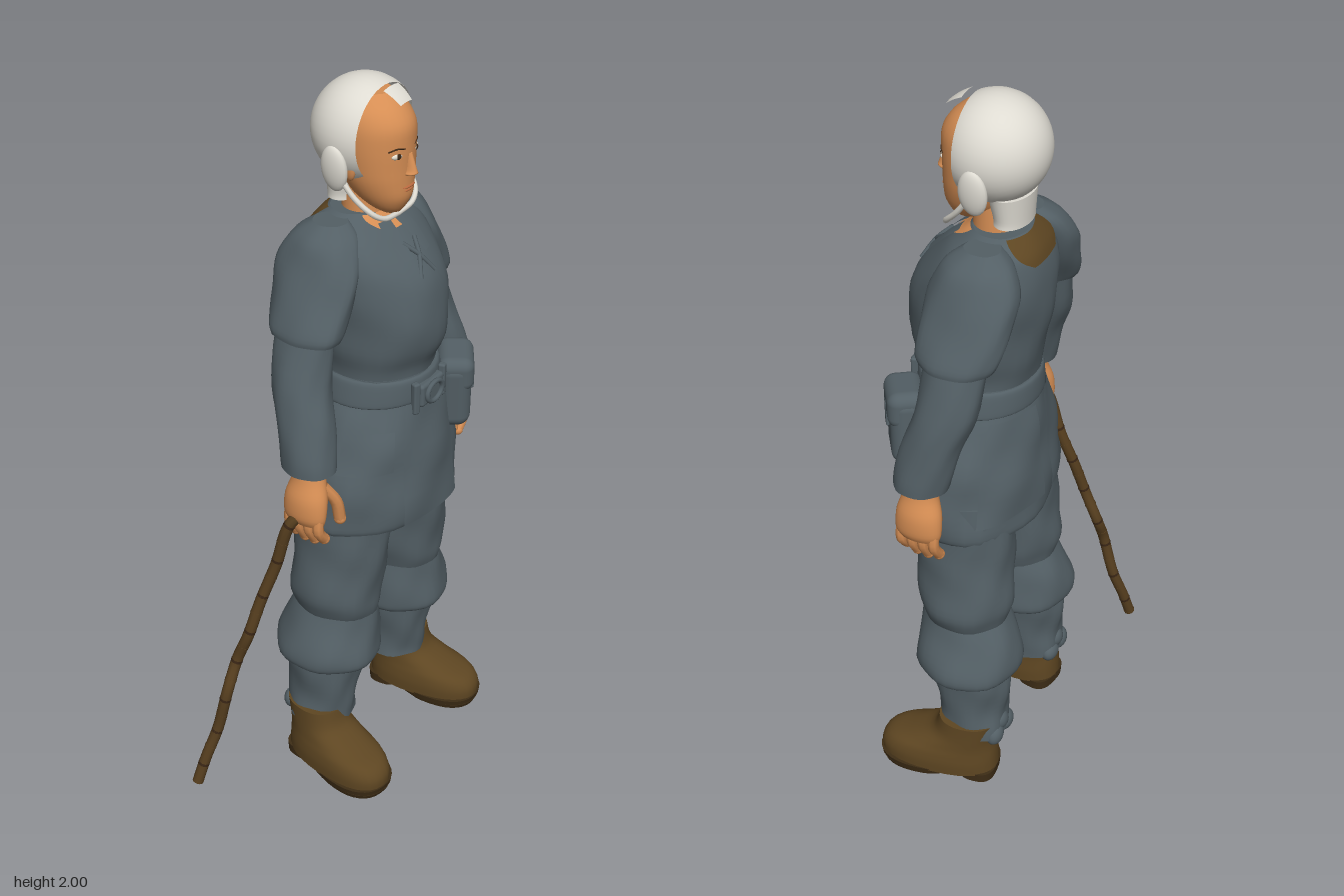
import * as THREE from 'three';
import { RoundedBoxGeometry } from 'three/addons/geometries/RoundedBoxGeometry.js';

const mat = (name, color, side = THREE.FrontSide) => {
  const m = new THREE.MeshStandardMaterial({ color, side });
  m.name = name;
  return m;
};
const M = {
  cloth: mat('slate cloth', 0x535f65, THREE.DoubleSide),
  skin: mat('skin', 0xd68e54, THREE.DoubleSide),
  hair: mat('white hair', 0xdedbd2, THREE.DoubleSide),
  boot: mat('boot leather', 0x5e4622, THREE.DoubleSide),
  sole: mat('dark sole', 0x3e2d16),
  stick: mat('stick wood', 0x573f1f),
  lip: mat('lips', 0xb9693f),
  dark: mat('iris and brow', 0x3b2716),
  white: mat('eye white', 0xe6dfd0),
};

function add(parent, name, geo, material, pos = [0, 0, 0], rot = [0, 0, 0], scale = [1, 1, 1]) {
  const mesh = new THREE.Mesh(geo, material);
  mesh.name = name;
  mesh.position.set(...pos);
  mesh.rotation.set(...rot);
  mesh.scale.set(...scale);
  parent.add(mesh);
  return mesh;
}

// A ring is [y, centre x, centre z, radius x, radius z]; rings rise in y.
function ringAt(rings, u) {
  const n = rings.length - 1, i = Math.min(Math.floor(u), n - 1), f = u - i;
  const g = k => rings[Math.max(0, Math.min(n, k))];
  return rings[0].map((_, c) => {
    const [a, b, d, e] = [g(i - 1)[c], g(i)[c], g(i + 1)[c], g(i + 2)[c]];
    return b + 0.5 * f * (d - a + f * (2 * a - 5 * b + 4 * d - e + f * (3 * (b - d) + e - a)));
  });
}
function ringAtY(rings, y) {
  let lo = 0, hi = rings.length - 1;
  for (let k = 0; k < 24; k++) {
    const mid = (lo + hi) / 2;
    if (ringAt(rings, mid)[0] < y) lo = mid; else hi = mid;
  }
  return ringAt(rings, lo);
}
// Point on a ring: pw squares the outline, fold adds cloth folds.
function ringPoint([y, cx, cz, rx, rz], a, { pw = 1, fold = 0, off = 0 } = {}) {
  const p = v => Math.sign(v) * Math.abs(v) ** pw;
  const k = 1 + fold * (Math.sin(3 * a + 38 * y) + Math.sin(7 * a - 23 * y)) / 2;
  return [cx + (rx * k + off) * p(Math.sin(a)), y, cz + (rz * k + off) * p(Math.cos(a))];
}
function grid(rows, cols, fn, caps) {
  const pos = [], idx = [];
  for (let i = 0; i <= rows; i++) for (let j = 0; j < cols; j++) pos.push(...fn(i, j));
  const wrap = caps ? cols : cols - 1;
  for (let i = 0; i < rows; i++) for (let j = 0; j < wrap; j++) {
    const a = i * cols + j, b = i * cols + (j + 1) % cols;
    idx.push(a, b, b + cols, a, b + cols, a + cols);
  }
  if (caps) for (const [row, up] of [[0, false], [rows, true]]) {
    const base = pos.length / 3, c = [0, 0, 0];
    for (let j = 0; j < cols; j++) {
      const p = fn(row, j);
      pos.push(...p);
      p.forEach((v, k) => { c[k] += v / cols; });
    }
    pos.push(...c);
    for (let j = 0; j < cols; j++) {
      const a = base + j, b = base + (j + 1) % cols;
      idx.push(...(up ? [a, b, base + cols] : [b, a, base + cols]));
    }
  }
  const g = new THREE.BufferGeometry();
  g.setAttribute('position', new THREE.Float32BufferAttribute(pos, 3));
  g.setIndex(idx);
  g.computeVertexNormals();
  return g;
}
function loft(rings, opt = {}) {
  const sub = 4, rows = (rings.length - 1) * sub, cols = 32;
  return grid(rows, cols, (i, j) => ringPoint(ringAt(rings, i / sub), j / cols * Math.PI * 2, opt), true);
}
// Thin panel lying on a loft; taper narrows its lower edge.
function patch(rings, y0, y1, mid, half, opt, taper = 1) {
  return grid(8, 13, (i, j) => {
    const w = half * (taper + (1 - taper) * i / 8);
    return ringPoint(ringAtY(rings, y0 + (y1 - y0) * i / 8), mid + w * (j / 6 - 1), opt);
  }, false);
}
function tube(points, r, segs = 12, sides = 8) {
  const curve = new THREE.CatmullRomCurve3(points.map(p => new THREE.Vector3(...p)));
  return new THREE.TubeGeometry(curve, segs, r, sides);
}
const ball = (r = 1) => new THREE.SphereGeometry(r, 20, 14);
const mirrorX = (rings, s) => rings.map(([y, x, ...rest]) => [y, x * s, ...rest]);

const SHIRT = [[1.23, 0, .015, .15, .145], [1.28, 0, .015, .15, .152], [1.34, 0, .02, .16, .17], [1.42, 0, .015, .163, .18],
  [1.5, 0, .002, .172, .176], [1.56, 0, -.015, .178, .156], [1.62, 0, -.035, .165, .118], [1.65, 0, -.045, .12, .088], [1.668, 0, -.045, .08, .068]];
const SKIRT = [[.835, 0, .017, .25, .178], [.86, 0, .017, .258, .183], [.95, 0, .017, .25, .18], [1.05, 0, .017, .228, .172],
  [1.15, 0, .016, .185, .16], [1.2, 0, .015, .16, .152], [1.26, 0, .015, .15, .148]];
const SLEEVE = [[1.405, .237, -.035, .066, .095], [1.43, .23, -.037, .07, .105], [1.5, .195, -.045, .07, .113],
  [1.57, .163, -.05, .07, .113], [1.63, .135, -.05, .068, .086], [1.662, .115, -.05, .04, .045]];
const FOREARM = [[1.08, .31, .025, .065, .072], [1.12, .305, .018, .067, .074], [1.2, .29, 0, .068, .075], [1.3, .265, -.03, .07, .078], [1.44, .228, -.04, .06, .078]];
const PALM = [[.925, .33, .025, .026, .055], [.95, .332, .025, .034, .062], [1, .325, .025, .04, .06], [1.05, .313, .025, .036, .046], [1.1, .307, .02, .034, .042]];
const THIGH = [[.52, .147, -.01, .095, .11], [.56, .15, -.01, .11, .121], [.61, .15, -.012, .121, .128], [.7, .14, -.005, .116, .13], [.8, .13, 0, .118, .133], [.95, .12, 0, .12, .13]];
const KNEE = [[.372, .165, -.025, .12, .128], [.39, .167, -.025, .138, .144], [.43, .166, -.025, .137, .144], [.5, .155, -.02, .117, .13], [.56, .15, -.01, .1, .112]];
const SHIN = [[.16, .18, -.045, .091, .095], [.19, .179, -.045, .088, .096], [.25, .175, -.04, .085, .099], [.34, .173, -.037, .092, .112], [.42, .17, -.035, .092, .112]];
const BOOT = [[.025, 0, .045, .086, .169], [.06, 0, .045, .087, .168], [.09, 0, .034, .083, .155], [.115, 0, .004, .077, .122], [.15, 0, -.028, .073, .088], [.205, 0, -.042, .072, .082]];
const HEAD = [[1.672, 0, .045, .022, .027], [1.69, 0, .036, .045, .05], [1.72, 0, .021, .066, .079], [1.76, 0, .01, .082, .092], [1.8, 0, .005, .089, .097],
  [1.85, 0, 0, .093, .103], [1.9, 0, -.005, .091, .106], [1.94, 0, -.015, .077, .092], [1.972, 0, -.02, .045, .06]];

function buildHead(g) {
  add(g, 'head', loft(HEAD), M.skin);
  add(g, 'neck', new THREE.CylinderGeometry(.054, .062, .16, 24), M.skin, [0, 1.65, -.03]);
  add(g, 'nose', loft([[1.778, 0, .1, .012, .008], [1.784, 0, .102, .017, .02], [1.795, 0, .1, .012, .02], [1.835, 0, .097, .007, .009]]), M.skin);
  add(g, 'upperLip', ball(), M.lip, [0, 1.749, .099], [0, 0, 0], [.024, .004, .007]);
  add(g, 'lowerLip', ball(), M.lip, [0, 1.74, .096], [0, 0, 0], [.02, .004, .008]);
  for (const s of [1, -1]) {
    add(g, 'eye', ball(), M.white, [s * .038, 1.835, .09], [0, s * .35, 0], [.016, .008, .006]);
    add(g, 'iris', ball(), M.dark, [s * .037, 1.835, .094], [0, s * .35, 0], [.007, .0075, .004]);
    add(g, 'brow', tube([[s * .018, 1.85, .1], [s * .04, 1.855, .093], [s * .06, 1.849, .079]], .002), M.dark);
    add(g, 'ear', ball(), M.skin, [s * .097, 1.805, -.005], [0, s * .3, 0], [.012, .035, .02]);
    add(g, 'hairOverEar', ball(), M.hair, [s * .125, 1.805, -.03], [0, 0, s * -.1], [.018, .06, .037]);
    // Flat lock sweeping from the ear to the jaw
    add(g, 'jawLock', tube([[s * .122, 1.79, -.02], [s * .112, 1.735, .02], [s * .09, 1.695, .058], [s * .06, 1.676, .07], [0, 1.668, .07]], .007, 20), M.hair);
  }
  // Hollow cap of hair, open at the face
  const cap = new THREE.SphereGeometry(1, 40, 24, 0, Math.PI * 2, 1.12, Math.PI - 1.12).rotateX(Math.PI / 2);
  add(g, 'hairCap', cap, M.hair, [0, 1.868, -.03], [0, 0, 0], [.132, .132, .131]);
  // Fringe follows the curve of the cap a little way forward
  const fringe = new THREE.SphereGeometry(1, 10, 10, -.26, .52, .75, .4).rotateX(Math.PI / 2).rotateZ(Math.PI);
  fringe.computeBoundingBox();
  const lift = fringe.boundingBox.getCenter(new THREE.Vector3());
  fringe.rotateZ(Math.PI / 2 - Math.atan2(lift.y, lift.x));
  add(g, 'fringe', fringe, M.hair, [0, 1.87, -.012], [0, 0, 0], [.13, .13, .137]);
  add(g, 'napeHair', loft([[1.69, 0, -.075, .07, .045], [1.71, 0, -.075, .07, .046], [1.77, 0, -.07, .08, .055]]), M.hair);
}

function buildTunic(g) {
  const folds = { fold: .02 }, raised = { fold: .02, off: .008 };
  add(g, 'shirt', loft(SHIRT, folds), M.cloth);
  add(g, 'skirt', loft(SKIRT, { fold: .03 }), M.cloth);
  add(g, 'frontNeckline', patch(SHIRT, 1.632, 1.667, 0, .8, { fold: .02, off: .004 }, .3), M.skin);
  add(g, 'backNeckline', patch(SHIRT, 1.605, 1.667, Math.PI, .95, { fold: .02, off: .004 }, .35), M.boot);
  for (const s of [1, -1]) {
    add(g, 'collarFlap', patch(SHIRT, 1.575, 1.65, s * .22, .16, raised, .5), M.cloth);
    add(g, 'lace', tube([[s * .025, 1.605, .1], [0, 1.575, .133], [-s * .03, 1.53, .16]], .006), M.cloth);
    add(g, 'skirtPocket', patch(SKIRT, 1.02, 1.13, s * 1.0, .35, { fold: .03, off: .009 }, 1.1), M.cloth);
    add(g, 'backPanel', patch(SKIRT, .9, 1.18, Math.PI + s * .55, .42, { fold: .03, off: .009 }, 1.15), M.cloth);
  }
  add(g, 'frontPanel', patch(SKIRT, .85, 1.19, -.05, .45, { fold: .03, off: .009 }, .95), M.cloth);
  add(g, 'belt', loft([[1.185, 0, .015, .168, .155], [1.195, 0, .015, .17, .16], [1.245, 0, .015, .16, .158], [1.257, 0, .015, .153, .152]]), M.cloth);
  // Buckle and pouch
  add(g, 'buckle', new RoundedBoxGeometry(.1, .065, .03, 2, .01), M.cloth, [0, 1.205, .172]);
  add(g, 'buckleFrame', new THREE.TorusGeometry(.03, .007, 8, 20), M.cloth, [0, 1.205, .19], [0, 0, 0], [1.1, .9, 1]);
  for (const s of [1, -1]) add(g, 'beltLoop', new RoundedBoxGeometry(.02, .09, .02, 2, .006), M.cloth, [s * .06, 1.205, .172], [0, s * .3, 0]);
  const pouch = new THREE.Group();
  pouch.name = 'pouch';
  pouch.position.set(.16, 1.135, .145);
  pouch.rotation.set(0, .6, .06);
  add(pouch, 'pouchBag', new RoundedBoxGeometry(.145, .2, .09, 4, .035), M.cloth, [0, -.005, 0]);
  add(pouch, 'pouchFlap', new RoundedBoxGeometry(.14, .1, .098, 4, .03), M.cloth, [0, .055, .002]);
  add(pouch, 'pouchStrap', new RoundedBoxGeometry(.03, .07, .01, 2, .004), M.cloth, [0, .025, .048]);
  g.add(pouch);
}

function buildLimbs(g, s) {
  const side = s > 0 ? 'left' : 'right';
  const part = (name, rings, material, opt) => add(g, side + name, loft(mirrorX(rings, s), opt), material);
  part('ShortSleeve', SLEEVE, M.cloth, { fold: .035 });
  part('LongSleeve', FOREARM, M.cloth, { fold: .03 });
  part('Palm', PALM, M.skin);
  for (let i = 0; i < 4; i++) {
    const z = -.02 + i * .03, tip = [.855, .848, .85, .862][i];
    add(g, side + 'Finger', tube([[s * .335, .96, z], [s * .338, .91, z + .001], [s * .312, tip + .012, z]], .0145, 8), M.skin);
    add(g, side + 'Fingertip', ball(.0145), M.skin, [s * .312, tip + .012, z]);
  }
  add(g, side + 'Thumb', tube([[s * .305, 1.03, .06], [s * .275, .975, .08], [s * .262, .915, .083]], .016, 8), M.skin);
  add(g, side + 'ThumbTip', ball(.016), M.skin, [s * .262, .915, .083]);
  // Gathered trouser leg
  part('Thigh', THIGH, M.cloth, { fold: .03 });
  part('KneeGather', KNEE, M.cloth, { fold: .03 });
  part('Shin', SHIN, M.cloth, { fold: .05 });
  for (let i = 0; i < 3; i++) {
    add(g, side + 'CuffTie', ball(), M.cloth, [s * (.15 + i * .03), .165 + (i % 2) * .03, -.122], [0, 0, i], [.034, .03, .024]);
  }
  // Boot, toes turned out
  const boot = new THREE.Group();
  boot.name = side + 'Boot';
  boot.position.set(s * .21, 0, 0);
  boot.rotation.y = s * .15;
  add(boot, 'bootUpper', loft(BOOT, { pw: .85 }), M.boot);
  add(boot, 'bootSole', loft([[.012, 0, .09, .085, .124], [.03, 0, .09, .089, .128]], { pw: .85 }), M.sole);
  add(boot, 'bootHeel', loft([[0, 0, -.07, .064, .052], [.03, 0, -.07, .066, .054]], { pw: .7 }), M.sole);
  add(boot, 'toeSole', loft([[0, 0, .1, .08, .11], [.014, 0, .1, .084, .116]], { pw: .85 }), M.sole);
  g.add(boot);
}

function buildStick(g) {
  const pts = [[-.255, .96, .03], [-.283, .92, 0], [-.295, .78, -.04], [-.32, .66, -.075], [-.345, .55, -.1], [-.352, .45, -.138],
    [-.39, .36, -.145], [-.403, .22, -.175], [-.43, .12, -.2], [-.452, .04, -.215]].map(p => new THREE.Vector3(...p));
  const path = new THREE.CatmullRomCurve3(pts);
  add(g, 'stickShaft', new THREE.TubeGeometry(path, 60, .0155, 10), M.stick);
  for (let i = 0; i <= 16; i++) {
    const knot = add(g, 'stickKnot', new THREE.CylinderGeometry(.0162, .0162, .008, 10), i % 2 ? M.dark : M.stick);
    knot.position.copy(path.getPointAt(i / 16));
    knot.quaternion.setFromUnitVectors(new THREE.Vector3(0, 1, 0), path.getTangentAt(i / 16));
  }
}

export function createModel() {
  const model = new THREE.Group();
  model.name = 'villager';
  const body = new THREE.Group();
  body.name = 'body';
  body.position.x = .08;
  buildHead(body);
  buildTunic(body);
  for (const s of [1, -1]) buildLimbs(body, s);
  const stick = new THREE.Group();
  stick.name = 'walkingStick';
  buildStick(stick);
  model.add(body, stick);
  return model;
}
